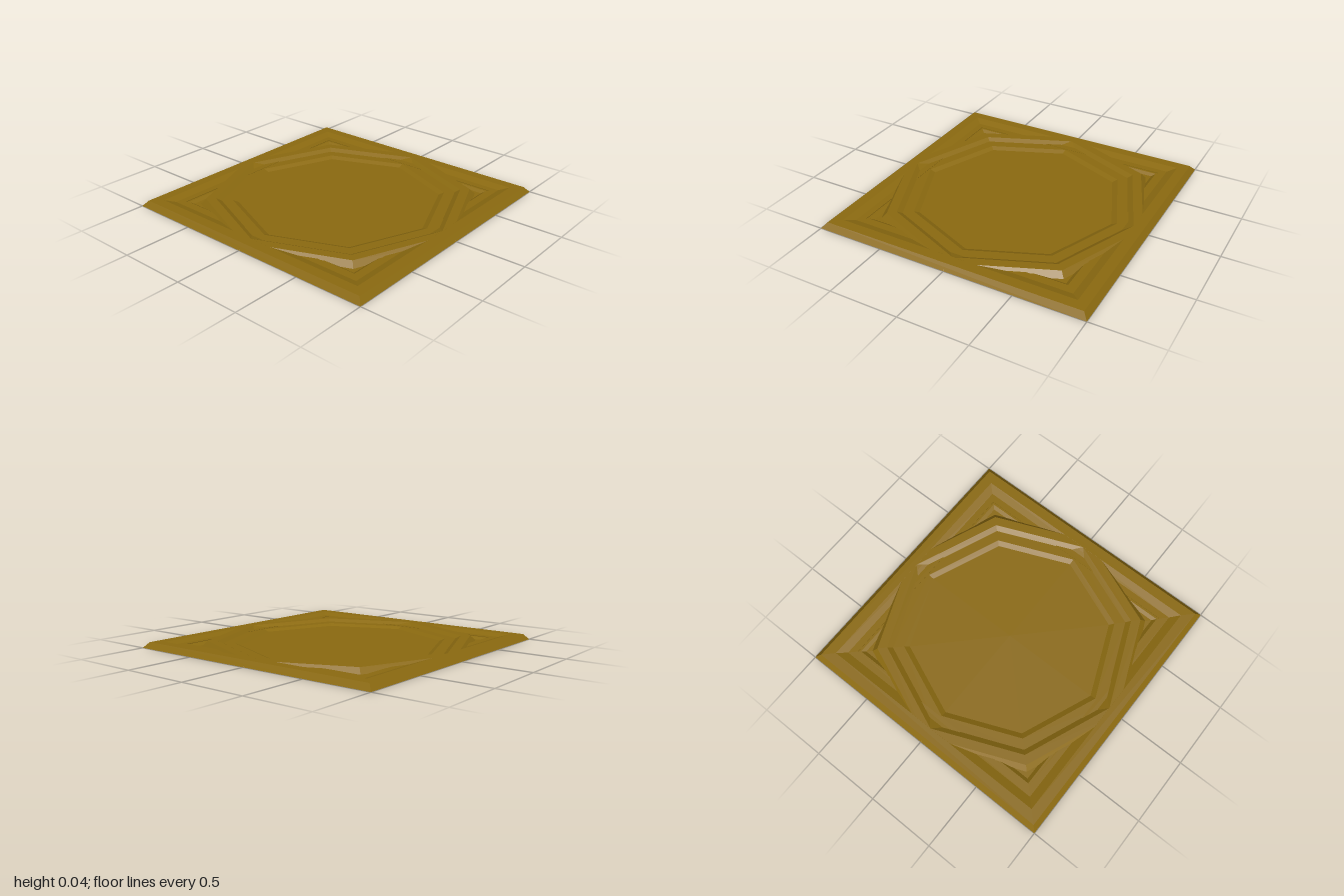
import * as THREE from 'three';

// Sweeps a profile of [distance, height] pairs around a regular polygon
function steppedPanel(name, sides, scale, phase, profile, material) {
  const points = profile.map(([r, y]) => new THREE.Vector2(r * scale, y));
  const mesh = new THREE.Mesh(new THREE.LatheGeometry(points, sides, phase), material);
  mesh.name = name;
  return mesh;
}

export function createModel() {
  const group = new THREE.Group();
  group.name = 'steppedPanel';
  const material = new THREE.MeshStandardMaterial({
    color: 0x8b6a10, flatShading: true, side: THREE.DoubleSide,
  });

  // Square frame: bevelled rim, ledge, small step, then the floor
  group.add(steppedPanel('squareFrame', 4, Math.SQRT2, Math.PI / 4, [
    [1, 0], [0.965, 0.04], [0.89, 0.04], [0.83, 0.022], [0.78, 0.022],
    [0.78, 0.018], [0.765, 0.018], [0.74, 0.002], [0, 0.002],
  ], material));

  // Octagonal frame set into the square, corners on the axes
  group.add(steppedPanel('octagonFrame', 8, 1, 0, [
    [1, 0.002], [0.96, 0.0398], [0.89, 0.0398], [0.85, 0.02],
    [0.77, 0.02], [0.73, 0.004], [0, 0.004],
  ], material));

  return group;
}
